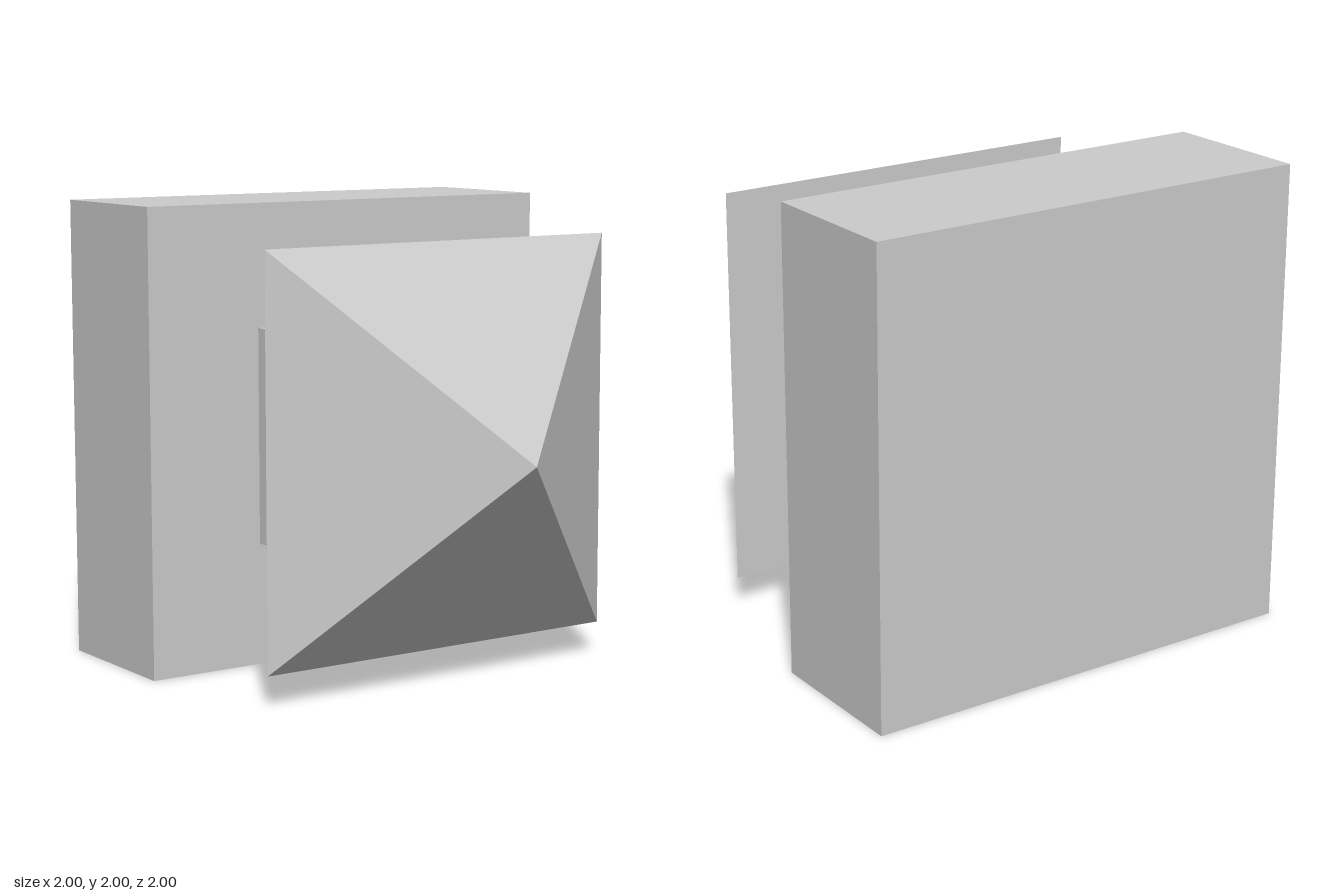
import * as THREE from 'three';

export function createModel() {
  const group = new THREE.Group();
  const material = new THREE.MeshStandardMaterial({ color: 0xcccccc, flatShading: true });

  const add = (name, geometry, z) => {
    const mesh = new THREE.Mesh(geometry, material);
    mesh.name = name;
    mesh.position.set(0, 1, z);
    group.add(mesh);
  };

  // z positions where the parts meet
  const blockFront = -0.325, tipBase = 0.355;

  // Square slab at the back
  const blockDepth = blockFront + 1;
  add('backBlock', new THREE.BoxGeometry(2, 2, blockDepth), -1 + blockDepth / 2);

  // Square neck joining slab and tip
  add('neck', new THREE.BoxGeometry(0.936, 0.936, tipBase - blockFront), (blockFront + tipBase) / 2);

  // Four-sided pyramid pointing forward
  const tipLength = 1 - tipBase;
  const tip = new THREE.ConeGeometry(0.86 * Math.SQRT2, tipLength, 4)
    .rotateY(Math.PI / 4)
    .rotateX(Math.PI / 2);
  add('pyramidTip', tip, tipBase + tipLength / 2);

  return group;
}
